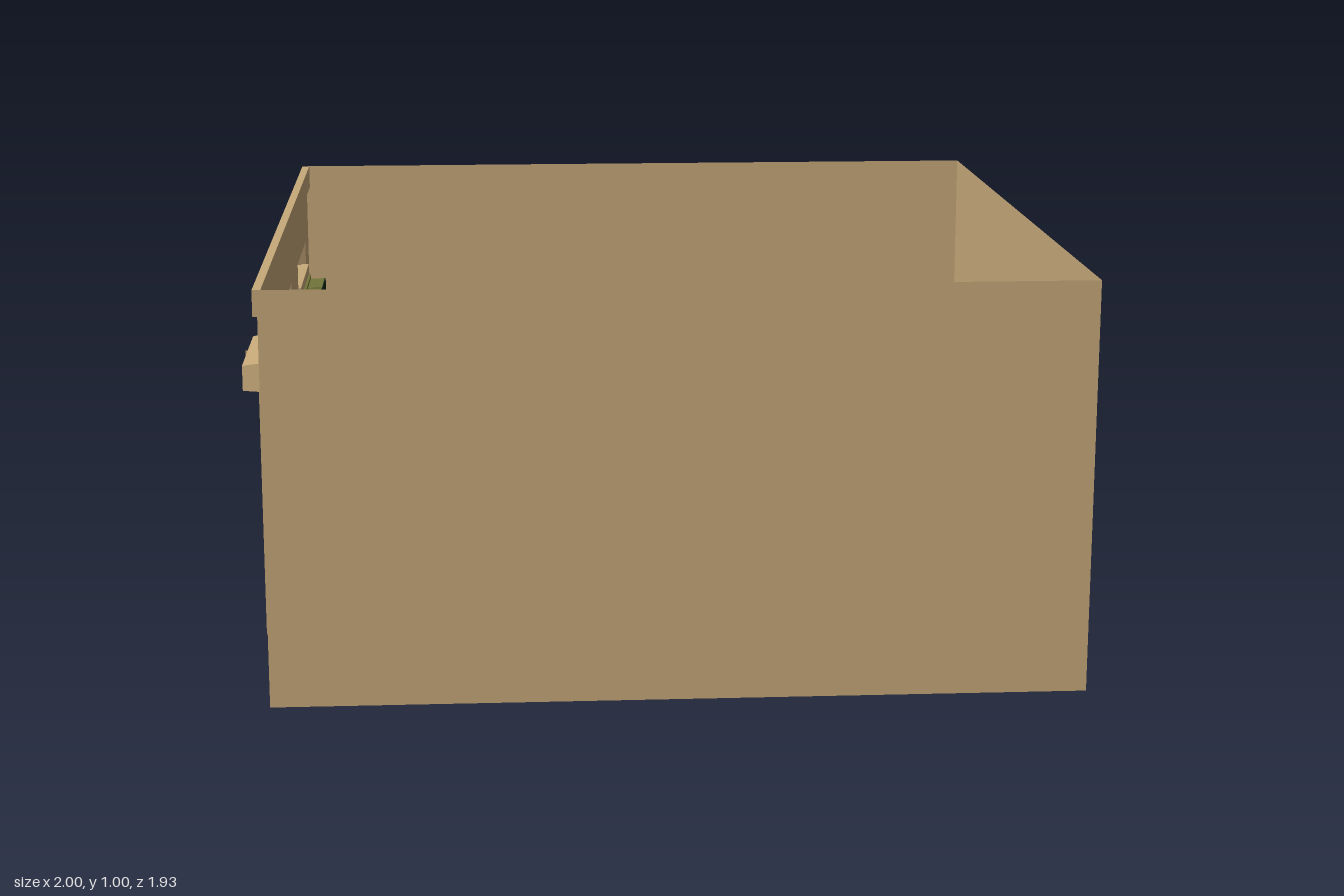
import * as THREE from 'three';

const tan = new THREE.MeshStandardMaterial({ name: 'tanPlaster', color: 0xc8aa7a, side: THREE.DoubleSide });
const olive = new THREE.MeshStandardMaterial({ name: 'oliveFrame', color: 0x72753a, side: THREE.DoubleSide });
const glass = new THREE.MeshStandardMaterial({ name: 'darkGlass', color: 0x0e2214, side: THREE.DoubleSide });

const WALL_X = -0.943, HALF_Z = 0.965;

function add(parent, name, geometry, material) {
  const mesh = new THREE.Mesh(geometry, material);
  mesh.name = name;
  parent.add(mesh);
  return mesh;
}

// Box given by its limits on each axis
function box(parent, name, material, [x0, x1], [y0, y1], [z0, z1]) {
  const g = new THREE.BoxGeometry(x1 - x0, y1 - y0, z1 - z0);
  g.translate((x0 + x1) / 2, (y0 + y1) / 2, (z0 + z1) / 2);
  return add(parent, name, g, material);
}

// Closed rectangular outline in the z-y plane of the window wall
function rect(Type, z0, z1, y0, y1) {
  const p = new Type();
  p.moveTo(z0, y0);
  p.lineTo(z1, y0);
  p.lineTo(z1, y1);
  p.lineTo(z0, y1);
  p.closePath();
  return p;
}

// Rectangular ring with depth along x
function ring(parent, name, material, [x0, x1], outer, inner) {
  const s = rect(THREE.Shape, ...outer);
  s.holes.push(rect(THREE.Path, ...inner));
  const g = new THREE.ExtrudeGeometry(s, { depth: x1 - x0, bevelEnabled: false });
  g.rotateY(-Math.PI / 2).translate(x1, 0, 0);
  return add(parent, name, g, material);
}

// Hollow hood: tapers outward and is open toward the room
function hoodGeometry() {
  const g = new THREE.BoxGeometry(1, 1, 1);
  const p = g.attributes.position;
  for (let i = 0; i < p.count; i++) {
    const front = p.getX(i) < 0;
    const top = front ? 0.79 : 0.8;
    p.setXYZ(i, front ? -0.995 : WALL_X, p.getY(i) > 0 ? top : 0.73,
      Math.sign(p.getZ(i)) * (front ? 0.167 : 0.185));
  }
  g.setIndex(Array.from(g.index.array).slice(6));
  g.computeVertexNormals();
  return g;
}

function createWindow() {
  const w = new THREE.Group();
  w.name = 'window';
  add(w, 'hood', hoodGeometry(), tan);
  box(w, 'hoodSeam', tan, [-1, -0.99], [0.73, 0.79], [-0.004, 0.004]);
  ring(w, 'outerFrame', tan, [-0.956, -0.935], [-0.187, 0.187, 0.138, 0.732], [-0.166, 0.166, 0.17, 0.7]);
  ring(w, 'innerFrame', olive, [-0.944, -0.928], [-0.168, 0.168, 0.165, 0.704], [-0.152, 0.152, 0.18, 0.69]);
  box(w, 'lowerPanel', olive, [-0.936, -0.93], [0.175, 0.3], [-0.155, 0.155]);
  box(w, 'mullion', olive, [-0.935, -0.91], [0.29, 0.69], [-0.006, 0.006]);

  // Two sashes reaching into the room, glazed on the inner side
  for (const side of [-1, 1]) {
    const sash = new THREE.Group();
    sash.name = 'sash';
    const a = side > 0 ? 0.006 : -0.152, b = a + 0.146;
    ring(sash, 'sashFrame', olive, [-0.935, -0.888], [a, b, 0.29, 0.695], [a + 0.005, b - 0.005, 0.296, 0.689]);
    box(sash, 'pane', glass, [-0.889, -0.885], [0.29, 0.695], [a, b]);
    w.add(sash);
  }
  return w;
}

export function createModel() {
  const model = new THREE.Group();
  model.name = 'openRoom';

  // Floor and three plain walls
  const width = 1 - WALL_X, midX = (1 + WALL_X) / 2;
  add(model, 'floor', new THREE.PlaneGeometry(width, 2 * HALF_Z).rotateX(-Math.PI / 2).translate(midX, 0, 0), tan);
  add(model, 'frontWall', new THREE.PlaneGeometry(width, 1).translate(midX, 0.5, HALF_Z), tan);
  add(model, 'backWall', new THREE.PlaneGeometry(width, 1).rotateY(Math.PI).translate(midX, 0.5, -HALF_Z), tan);
  add(model, 'plainSideWall', new THREE.PlaneGeometry(2 * HALF_Z, 1).rotateY(Math.PI / 2).translate(1, 0.5, 0), tan);

  // Wall with three window openings
  const wall = rect(THREE.Shape, -HALF_Z, HALF_Z, 0, 1);
  const centres = [-0.642, 0, 0.642];
  for (const z of centres) {
    wall.holes.push(rect(THREE.Path, z - 0.182, z + 0.182, 0.145, 0.797));
    const w = createWindow();
    w.position.z = z;
    model.add(w);
  }
  add(model, 'windowWall', new THREE.ShapeGeometry(wall).rotateY(-Math.PI / 2).translate(WALL_X, 0, 0), tan);

  // Cornice along the top of the window wall
  box(model, 'cornice', tan, [-0.954, -0.934], [0.938, 1], [-HALF_Z, HALF_Z]);
  return model;
}
